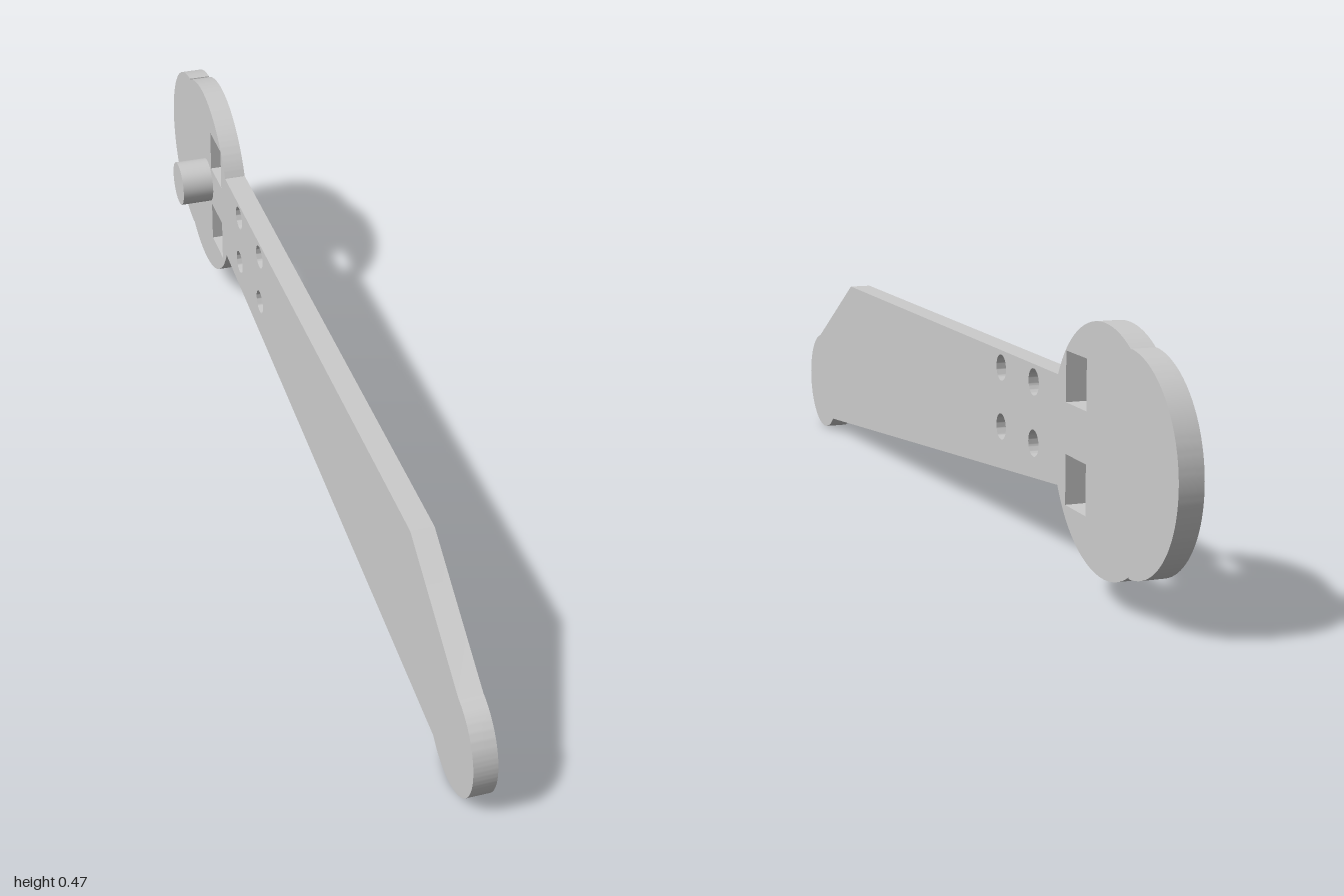
import * as THREE from 'three';
import { toCreasedNormals } from 'three/addons/utils/BufferGeometryUtils.js';

const X0 = 0.011, X1 = 0.054; // plate faces

export function createModel() {
  const model = new THREE.Group();
  const material = new THREE.MeshStandardMaterial({ color: 0xcccccc });

  // Side profile drawn with u = -z
  const shape = new THREE.Shape();
  const arc = (cu, cy, r, from, to) => shape.absarc(cu, cy, r,
    Math.atan2(from[1] - cy, from[0] - cu), Math.atan2(to[1] - cy, to[0] - cu), false);

  const mid = 0.262, half = 0.096;
  const neck = [0.532, half], lobe = [0.826, 0.183];
  const low = ([u, v]) => [u, mid - v], high = ([u, v]) => [u, mid + v];

  shape.moveTo(-0.665, mid - half);
  arc(0.72, mid, 0.211, low(neck), low(lobe));      // lower edge of the disc
  arc(0.815, mid, 0.185, low(lobe), high(lobe));    // rounded end lobe
  arc(0.72, mid, 0.211, high(lobe), high(neck));    // upper edge of the disc
  shape.lineTo(-0.665, mid + half);
  arc(-0.893, 0.107, 0.107, [-0.917, 0.212], [-0.82, 0.03]); // bent rounded tip
  shape.closePath();

  // Four round holes
  for (const u of [0.265, 0.422]) for (const y of [0.217, 0.326]) {
    shape.holes.push(new THREE.Path().absarc(u, y, 0.024, 0, Math.PI * 2, true));
  }
  // Two square windows
  for (const y of [0.139, 0.316]) {
    shape.holes.push(new THREE.Path().moveTo(0.567, y).lineTo(0.567, y + 0.088)
      .lineTo(0.653, y + 0.088).lineTo(0.653, y).closePath());
  }

  const plateGeometry = new THREE.ExtrudeGeometry(shape, {
    depth: X1 - X0, bevelEnabled: false, curveSegments: 40,
  });
  plateGeometry.rotateY(Math.PI / 2).translate(X0, 0, 0);
  const plate = new THREE.Mesh(toCreasedNormals(plateGeometry, 0.4), material);
  plate.name = 'armPlate';
  model.add(plate);

  // Pivot peg on the -x face
  const pegEnd = -0.055;
  const peg = new THREE.Mesh(new THREE.CylinderGeometry(0.047, 0.047, X0 - pegEnd, 48), material);
  peg.name = 'pivotPeg';
  peg.rotation.z = Math.PI / 2;
  peg.position.set((X0 + pegEnd) / 2, 0.27, -0.686);
  model.add(peg);

  return model;
}
